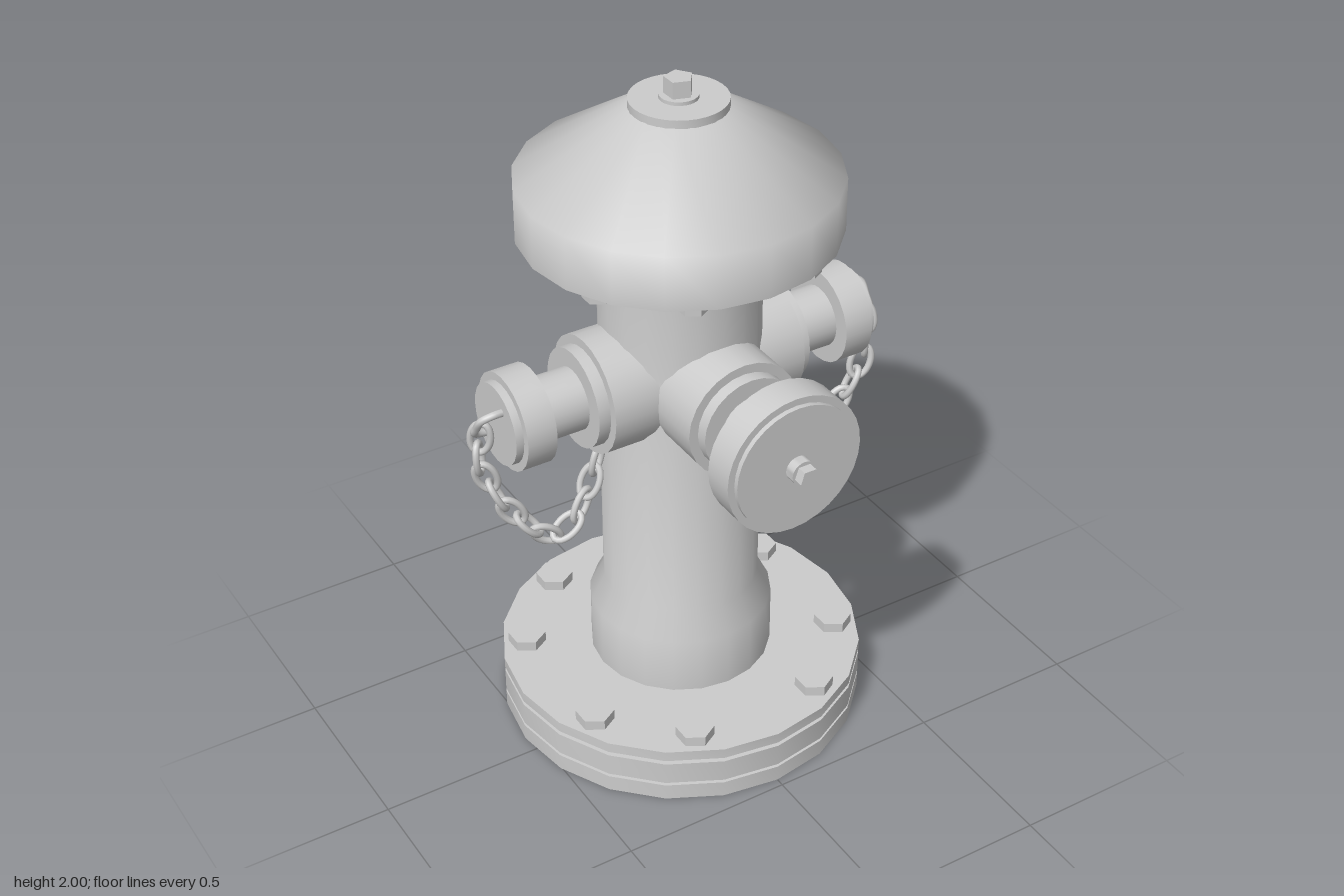
import * as THREE from 'three';
import { toCreasedNormals } from 'three/addons/utils/BufferGeometryUtils.js';

const mat = new THREE.MeshStandardMaterial({ color: 0xcccccc });
const AXIS_Z = -0.055;   // the barrel stands a little behind the centre
const NOZZLE_Y = 1.133;

function mesh(name, geometry, parent) {
  const m = new THREE.Mesh(geometry, mat);
  m.name = name;
  parent.add(m);
  return m;
}

// Turned part: [radius, height] pairs from bottom to top
function turned(name, profile, parent, sides = 20, crease = 0.8) {
  const pts = profile.map(([r, y]) => new THREE.Vector2(r, y));
  return mesh(name, toCreasedNormals(new THREE.LatheGeometry(pts, sides), crease), parent);
}

// Flat-sided nut or bolt head standing on y
function nut(name, radius, y0, y1, sides, parent) {
  const g = toCreasedNormals(new THREE.CylinderGeometry(radius, radius, y1 - y0, sides), 0.4);
  const m = mesh(name, g, parent);
  m.position.y = (y0 + y1) / 2;
  return m;
}

// Eight bolts in pairs beside each axis
function boltRing(name, ringRadius, boltRadius, y0, y1, parent) {
  for (let i = 0; i < 4; i++) {
    for (const side of [-1, 1]) {
      const a = i * Math.PI / 2 + side * 0.46;
      const b = nut(name, boltRadius, y0, y1, 6, parent);
      b.position.x = Math.sin(a) * ringRadius;
      b.position.z = Math.cos(a) * ringRadius;
    }
  }
}

// Closed oval ring of wire, long along x
function linkGeometry() {
  const pts = [];
  for (let i = 0; i < 12; i++) {
    const a = i / 12 * Math.PI * 2;
    pts.push(new THREE.Vector3(Math.cos(a) * 0.05, Math.sin(a) * 0.028, 0));
  }
  return new THREE.TubeGeometry(new THREE.CatmullRomCurve3(pts, true), 24, 0.01, 8, true);
}

// Hanging chain from the cap's staple to the eye under the collar
function chain(parent) {
  const group = new THREE.Group();
  group.name = 'chain';
  parent.add(group);
  const path = new THREE.CatmullRomCurve3([
    [0.605, 1.12, 0.015], [0.61, 1.02, 0.03], [0.58, 0.92, 0.03], [0.535, 0.83, 0.015],
    [0.475, 0.755, 0.005], [0.405, 0.7, 0], [0.335, 0.735, 0.005], [0.295, 0.8, 0.015],
    [0.262, 0.87, 0.02], [0.245, 0.935, 0.02],
  ].map(p => new THREE.Vector3(...p)));
  const geometry = linkGeometry();
  const count = 11;
  const X = new THREE.Vector3(1, 0, 0);
  for (let i = 0; i < count; i++) {
    const t = (i + 0.4) / count;
    const link = mesh('chainLink', geometry, group);
    link.position.copy(path.getPointAt(t));
    link.quaternion.setFromUnitVectors(X, path.getTangentAt(t));
    link.rotateX(i % 2 ? -0.95 : 0.6);
  }
}

// Collar and neck shared by all outlets, built along +y
function outlet(name, neckEnd, parent, collarEnd) {
  const g = new THREE.Group();
  g.name = name;
  g.position.y = NOZZLE_Y;
  parent.add(g);
  turned('collar', [[0, 0.1], [0.17, 0.1], [0.17, collarEnd - 0.035], [0.143, collarEnd - 0.035],
    [0.143, collarEnd], [0, collarEnd]], g, 24);
  turned('neck', [[0.09, 0.3], [0.09, neckEnd]], g, 24);
  return g;
}

function sideOutlet(name, parent) {
  const side = new THREE.Group();
  side.name = name;
  parent.add(side);
  const g = outlet('sideNozzle', 0.48, side, 0.335);
  g.rotation.z = -Math.PI / 2;
  turned('sideCap', [[0, 0.46], [0.14, 0.46], [0.14, 0.547], [0.117, 0.547], [0.117, 0.57], [0, 0.57]], g, 24);

  // Slanted staple on the cap face
  const staple = mesh('staple', new THREE.TubeGeometry(new THREE.CatmullRomCurve3([
    [0.56, 0.06, -0.04], [0.595, 0.06, -0.04], [0.625, 0.045, -0.028], [0.628, 0.01, -0.004],
    [0.625, -0.02, 0.018], [0.595, -0.035, 0.028], [0.56, -0.035, 0.028],
  ].map(p => new THREE.Vector3(...p))), 24, 0.011, 8), side);
  staple.position.y = NOZZLE_Y;

  // Eye holding the lower end of the chain
  const eye = mesh('chainEye', new THREE.TorusGeometry(0.027, 0.01, 8, 16), side);
  eye.position.set(0.24, 0.955, 0.02);
  chain(side);
  return side;
}

export function createModel() {
  const model = new THREE.Group();
  model.name = 'fireHydrant';
  const body = new THREE.Group();
  body.name = 'body';
  body.position.z = AXIS_Z;
  model.add(body);

  // Grooved base flange
  turned('baseFlange', [[0, 0], [0.53, 0], [0.53, 0.05], [0.515, 0.05], [0.515, 0.06], [0.53, 0.06],
    [0.53, 0.13], [0.515, 0.13], [0.515, 0.143], [0.53, 0.143], [0.53, 0.175], [0, 0.175]], body);
  boltRing('baseBolt', 0.455, 0.055, 0.17, 0.206, body);

  // Barrel with a wider foot
  turned('barrel', [[0.265, 0.17], [0.265, 0.35], [0.225, 0.43], [0.225, 1.58]], body);

  // Bonnet, softly shaded over its shoulder
  turned('bonnet', [[0, 1.57], [0.44, 1.57], [0.44, 1.725], [0.13, 1.922], [0, 1.922]], body, 20, 1.2);
  turned('bonnetDisc', [[0.133, 1.915], [0.133, 1.943], [0, 1.943]], body, 32);
  boltRing('bonnetBolt', 0.385, 0.042, 1.545, 1.575, body);
  turned('topWasher', [[0.053, 1.94], [0.053, 1.953], [0, 1.953]], body, 24);
  nut('topNut', 0.04, 1.95, 2, 5, body).rotation.y = Math.PI / 2;

  // Large front outlet
  const front = outlet('frontNozzle', 0.5, body, 0.36);
  front.rotation.x = Math.PI / 2;
  turned('frontCap', [[0, 0.475], [0.205, 0.475], [0.205, 0.568], [0.185, 0.568], [0.185, 0.582], [0, 0.582]], front, 32);
  turned('frontWasher', [[0.036, 0.58], [0.036, 0.612], [0, 0.612]], front, 24);
  nut('frontNut', 0.03, 0.61, 0.64, 5, front);

  // Side outlets, the right one turned half a circle
  sideOutlet('leftOutlet', body);
  sideOutlet('rightOutlet', body).rotation.y = Math.PI;

  return model;
}
